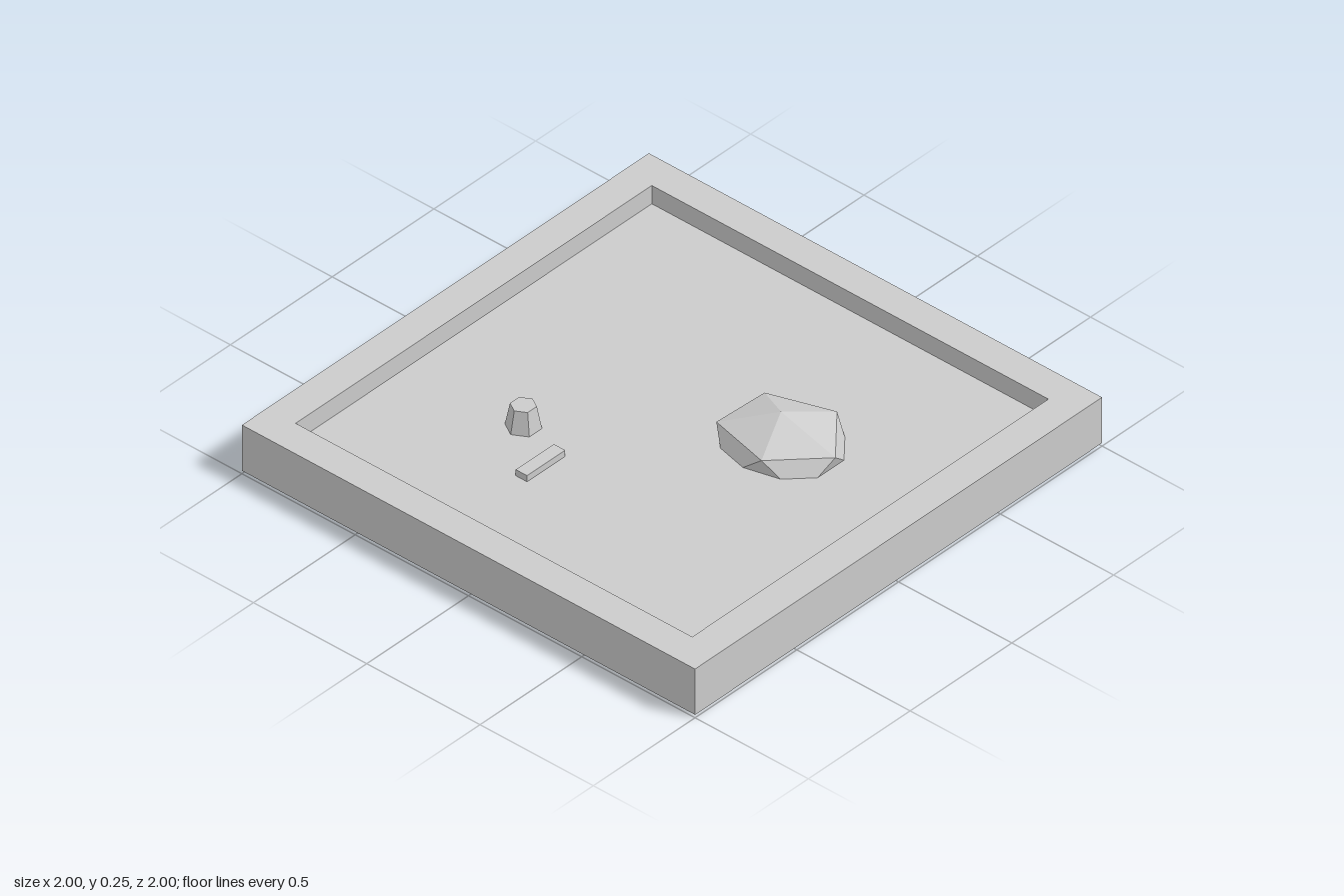
import * as THREE from 'three';

// Split shared corners so every face is flat
function faceted(geometry) {
  const g = geometry.index ? geometry.toNonIndexed() : geometry;
  g.computeVertexNormals();
  return g;
}

export function createModel() {
  const group = new THREE.Group();
  const grey = new THREE.MeshStandardMaterial({ color: 0xcccccc });
  grey.name = 'grey';

  const add = (name, geometry, x, y, z) => {
    const mesh = new THREE.Mesh(faceted(geometry), grey);
    mesh.name = name;
    mesh.position.set(x, y, z);
    group.add(mesh);
  };

  // Square tray: a four-sided lathe, outer half width 1, inner 0.875
  const profile = [[0, 0.0125], [1, 0.0125], [1, 0.2], [0.875, 0.2], [0.875, 0.125], [0, 0.125]]
    .map(([r, y]) => new THREE.Vector2(r * Math.SQRT2, y));
  add('tray', new THREE.LatheGeometry(profile, 4, Math.PI / 4), 0, 0, 0);

  // Rock: uneven twenty-sided stone, two rings of five corners between two tips
  const upper = [[0.24, 0], [0.075, -0.192], [-0.171, -0.11], [-0.182, 0.115], [0.07, 0.174]];
  const lower = [[0.2, -0.13], [-0.075, -0.195], [-0.235, 0], [-0.07, 0.2], [0.2, 0.13]];
  const corners = [0, 0.125, 0];
  upper.forEach(([x, z]) => corners.push(x, 0.056, z));
  lower.forEach(([x, z]) => corners.push(x, -0.056, z));
  corners.push(0, -0.125, 0);
  const faces = [];
  for (let i = 0; i < 5; i++) {
    const j = (i + 1) % 5;
    const a = 1 + i, b = 1 + j, c = 6 + i, d = 6 + j;
    faces.push(0, a, b, a, c, b, b, c, d, 11, d, c);
  }
  const rock = new THREE.BufferGeometry();
  rock.setAttribute('position', new THREE.Float32BufferAttribute(corners, 3));
  rock.setIndex(faces);
  add('rock', rock, 0.3125, 0.125, -0.1875);

  // Six-sided tapered stump standing on the tray floor
  add('stump', new THREE.CylinderGeometry(0.045, 0.0625, 0.0875, 6), -0.375, 0.16875, 0.3125);

  // Small flat plank
  add('plank', new THREE.BoxGeometry(0.05, 0.025, 0.1875), -0.1875, 0.1375, 0.4375);

  return group;
}
